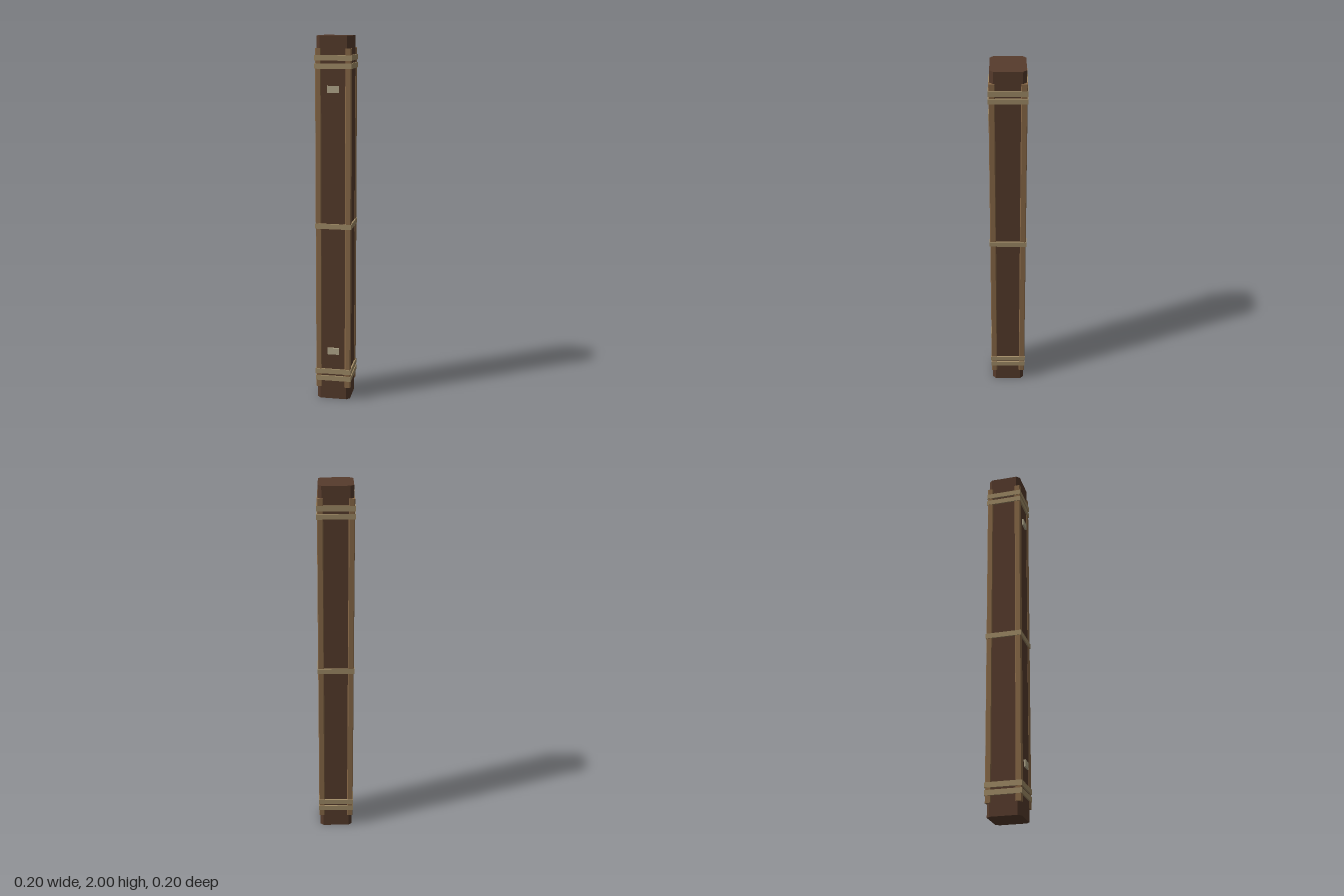
import * as THREE from 'three';

const mat = (color) => new THREE.MeshStandardMaterial({ color, flatShading: true });

// Closed shape from corner points
const shapeOf = (points) => new THREE.Shape(points.map(([x, y]) => new THREE.Vector2(x, y)));

// Extrudes a plan outline upward from y0 to y1
function prism(shape, y0, y1, material, name) {
  const geo = new THREE.ExtrudeGeometry(shape, { depth: y1 - y0, bevelEnabled: false });
  geo.rotateX(-Math.PI / 2);
  geo.translate(0, y0, 0);
  const mesh = new THREE.Mesh(geo, material);
  mesh.name = name;
  return mesh;
}

export function createModel() {
  const group = new THREE.Group();
  group.name = 'bandedPost';
  const wood = mat(0x573c2c);
  const trim = mat(0x8a6a48);
  const strap = mat(0xa28d68);
  const metal = mat(0xb5ab8e);

  // Main post with chamfered corners
  const h = 0.091, k = 0.073;
  const post = shapeOf([[h, -k], [h, k], [k, h], [-k, h], [-h, k], [-h, -k], [-k, -h], [k, -h]]);
  group.add(prism(post, 0, 2, wood, 'post'));

  // L-shaped guards along the four corners
  const guard = shapeOf([
    [0.064, 0.088], [0.088, 0.064], [0.092, 0.064], [0.096, 0.068],
    [0.096, 0.093], [0.093, 0.096], [0.068, 0.096], [0.064, 0.092],
  ]);
  for (let i = 0; i < 4; i++) {
    const mesh = prism(guard, 0.07, 1.935, trim, 'cornerGuard');
    mesh.rotation.y = i * Math.PI / 2;
    group.add(mesh);
  }

  // Straps wrapped around the post
  const square = (r) => [[r, -r], [r, r], [-r, r], [-r, -r]];
  const ring = shapeOf(square(0.099));
  ring.holes.push(new THREE.Path(square(0.09).map(([x, y]) => new THREE.Vector2(x, y))));
  for (const y of [0.122, 0.162, 0.99, 1.844, 1.886]) {
    group.add(prism(ring, y - 0.014, y + 0.014, strap, 'strap'));
  }

  // Small plates on the front face
  for (const y of [0.282, 1.724]) {
    const plate = new THREE.Mesh(new THREE.BoxGeometry(0.064, 0.037, 0.012), metal);
    plate.position.set(0, y, 0.094);
    plate.name = 'frontPlate';
    group.add(plate);
  }
  return group;
}
